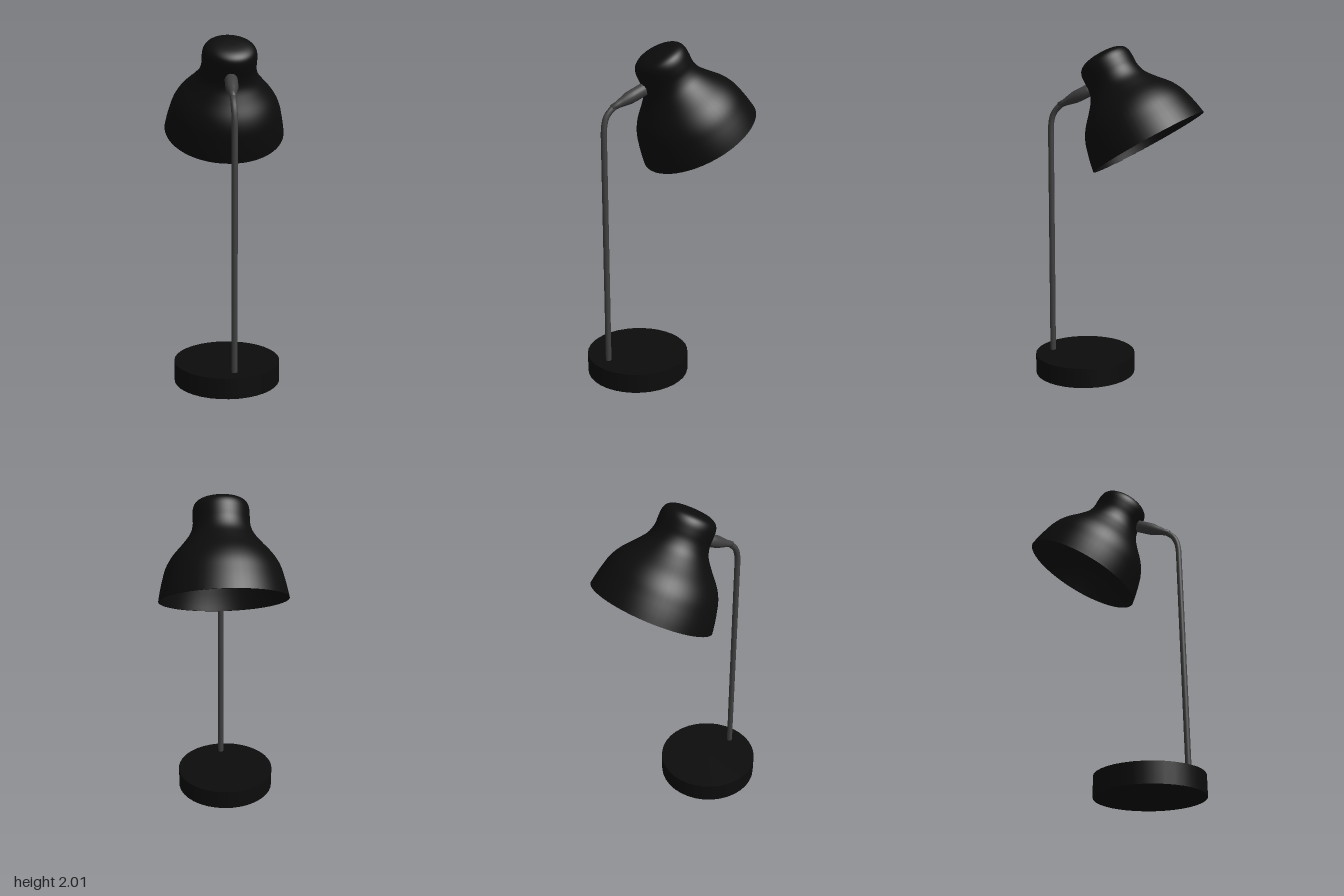
import * as THREE from 'three';

const black = new THREE.MeshStandardMaterial({ color: 0x0c0c0c });
black.name = 'matte black';
const blackOpen = black;
blackOpen.side = THREE.DoubleSide;
const grey = new THREE.MeshStandardMaterial({ color: 0x404040 });
grey.name = 'dark grey metal';

const UP = new THREE.Vector3(0, 1, 0);

function add(parent, name, geometry, material) {
  const mesh = new THREE.Mesh(geometry, material);
  mesh.name = name;
  parent.add(mesh);
  return mesh;
}

// Smooth a few [radius, height] points into a lathe profile
function smoothProfile(points, n) {
  const curve = new THREE.SplineCurve(points.map(([r, y]) => new THREE.Vector2(r, y)));
  return curve.getPoints(n).map((p) => new THREE.Vector2(Math.max(p.x, 0), p.y));
}

export function createModel() {
  const lamp = new THREE.Group();
  lamp.name = 'deskLamp';

  // Round weighted base
  add(lamp, 'base', new THREE.CylinderGeometry(0.31, 0.31, 0.12, 36), black)
    .position.set(-0.13, 0.06, 0.187);

  // Straight pole with a bent top
  const pole = new THREE.CurvePath();
  const v = (x, y, z) => new THREE.Vector3(x, y, z);
  const bendStart = v(-0.201, 1.5, 0.381);
  const bendEnd = v(-0.165, 1.675, 0.305);
  pole.add(new THREE.LineCurve3(v(-0.205, 0.1, 0.386), bendStart));
  pole.add(new THREE.CubicBezierCurve3(bendStart, v(-0.2, 1.6, 0.381), v(-0.198, 1.635, 0.362), bendEnd));
  add(lamp, 'pole', new THREE.TubeGeometry(pole, 120, 0.0175, 12, false), grey);

  // Flared sleeve joining the pole to the shade, with a small pin inside
  const sleeveStart = v(-0.18, 1.662, 0.33);
  const sleeveDir = v(-0.075, 1.76, 0.145).sub(sleeveStart).normalize();
  const sleeveProfile = [
    [0, 0], [0.018, 0], [0.021, 0.04], [0.028, 0.075], [0.036, 0.115], [0.037, 0.15],
    [0.037, 0.215], [0.016, 0.225], [0.016, 0.255], [0, 0.26],
  ].map(([r, y]) => new THREE.Vector2(r, y));
  const sleeve = add(lamp, 'sleeve', new THREE.LatheGeometry(sleeveProfile, 20), grey);
  sleeve.position.copy(sleeveStart);
  sleeve.quaternion.setFromUnitVectors(UP, sleeveDir);

  // Bell shade: outer skin, then a slightly smaller lining
  const outer = smoothProfile([
    [0.366, 0], [0.357, 0.05], [0.343, 0.11], [0.322, 0.18], [0.285, 0.245], [0.225, 0.315],
    [0.18, 0.375], [0.162, 0.43], [0.161, 0.48], [0.158, 0.525], [0.142, 0.557],
    [0.105, 0.577], [0.05, 0.585], [0, 0.586],
  ], 52);
  const inner = outer.map((p) => new THREE.Vector2(Math.max(p.x - 0.008, 0), p.y - 0.008 * (p.y / 0.586)));
  const shade = new THREE.Group();
  shade.name = 'shade';
  add(shade, 'shadeOuter', new THREE.LatheGeometry(outer, 56), black);
  add(shade, 'shadeLining', new THREE.LatheGeometry(inner.reverse(), 56), black);
  add(shade, 'shadeRim', new THREE.LatheGeometry([inner[inner.length - 1], outer[0]], 56), black);

  // Tilt the shade so it opens down, back and slightly to the left
  const tilt = THREE.MathUtils.degToRad(30);
  const axis = v(-0.42 * Math.sin(tilt), Math.cos(tilt), 0.907 * Math.sin(tilt)).normalize();
  shade.quaternion.setFromUnitVectors(UP, axis);
  shade.position.set(0.078, 1.452, -0.172);
  lamp.add(shade);

  return lamp;
}
